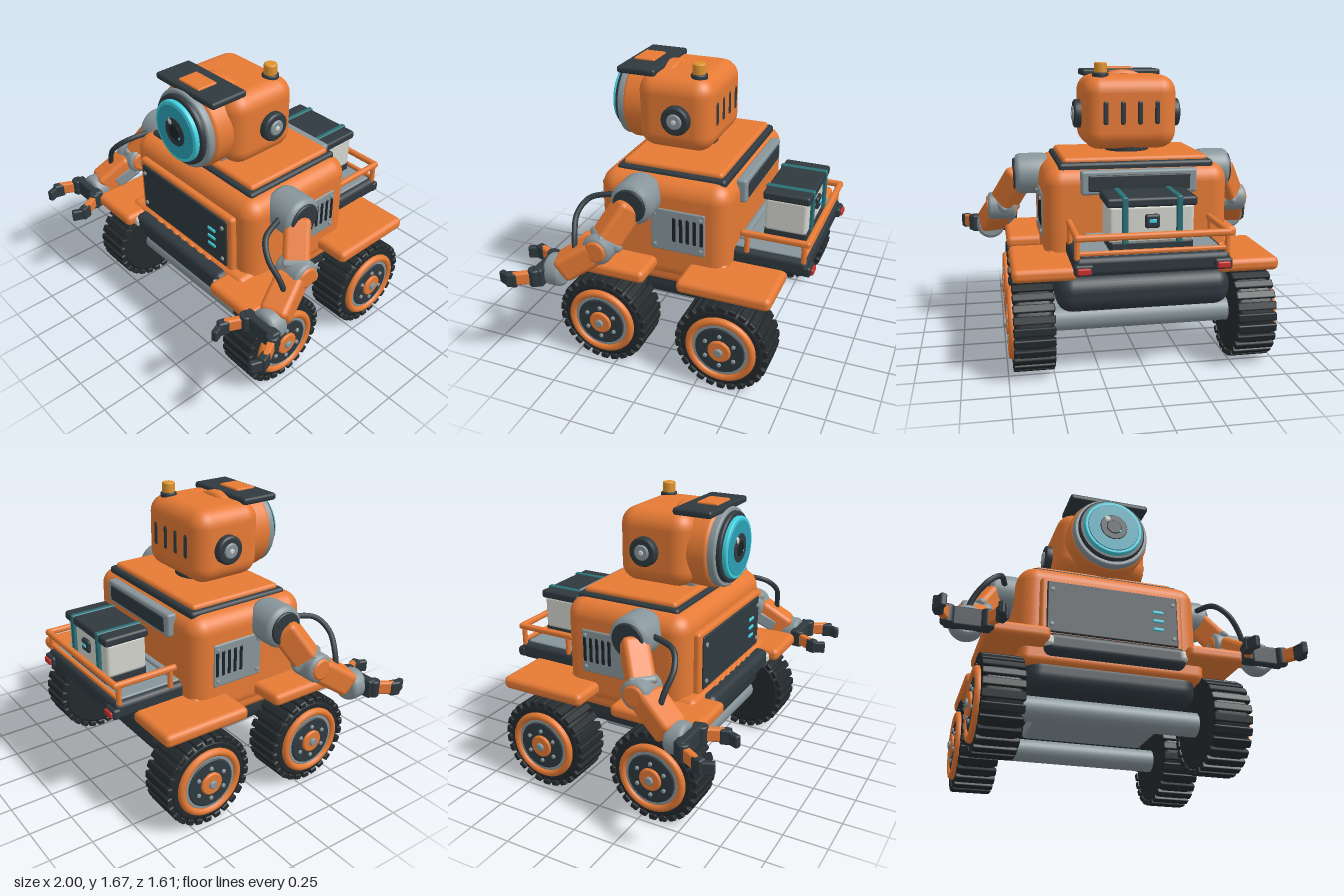
import * as THREE from 'three';
import { RoundedBoxGeometry } from 'three/addons/geometries/RoundedBoxGeometry.js';

const mat = (color) => new THREE.MeshStandardMaterial({ color });
const ORANGE = mat(0xe67a35), DARK = mat(0x2f393f), TIRE = mat(0x23292c), GREY = mat(0x87959a);
const CYAN = mat(0x3fd0e0), TEAL = mat(0x2a9fb5), STRAP = mat(0x2a7076), WHITE = mat(0xd2d4cc);
const RED = mat(0xc8302a), AMBER = mat(0xe0932f), BLACK = mat(0x1a2226);
const V = (x, y, z) => new THREE.Vector3(x, y, z);

function add(parent, name, geo, material, x = 0, y = 0, z = 0) {
  const m = new THREE.Mesh(geo, material);
  m.name = name;
  m.position.set(x, y, z);
  parent.add(m);
  return m;
}

// Rounded box from its limits: [x0, x1], [y0, y1], [z0, z1]
function block(parent, name, material, X, Y, Z, r = 0.015) {
  const w = X[1] - X[0], h = Y[1] - Y[0], d = Z[1] - Z[0];
  const geo = new RoundedBoxGeometry(w, h, d, r > 0.035 ? 4 : 2, Math.min(r, w * 0.49, h * 0.49, d * 0.49));
  return add(parent, name, geo, material, X[0] + w / 2, Y[0] + h / 2, Z[0] + d / 2);
}

// Bevelled disc, centred on a point, along the given axis; doubled points keep edges sharp
function disc(parent, name, material, r, len, axis, x, y, z, bevel = 0.008, seg = 28) {
  const b = Math.min(bevel, len * 0.4, r * 0.4), h = len / 2;
  const pts = [[0, -h], [r - b, -h], [r - b, -h], [r - 0.3 * b, -h + 0.3 * b], [r, -h + b],
    [r, h - b], [r - 0.3 * b, h - 0.3 * b], [r - b, h], [r - b, h], [0, h]];
  const m = add(parent, name, new THREE.LatheGeometry(pts.map((p) => new THREE.Vector2(...p)), seg), material, x, y, z);
  if (axis === 'x') m.rotation.z = -Math.PI / 2;
  if (axis === 'z') m.rotation.x = Math.PI / 2;
  return m;
}

// Rounded bar running from a to b
function bar(parent, name, material, a, b, w, h, r = 0.02) {
  const m = add(parent, name, new RoundedBoxGeometry(w, h, a.distanceTo(b), 2, Math.min(r, w * 0.49, h * 0.49)), material);
  m.position.copy(a).add(b).multiplyScalar(0.5);
  m.lookAt(b);
  return m;
}

// Wheel with its outer face towards +x
function wheel(z) {
  const g = new THREE.Group();
  g.name = 'wheel';
  g.position.set(0.61, 0.27, z);
  disc(g, 'tire', TIRE, 0.255, 0.21, 'x', 0, 0, 0, 0.03, 48);
  const n = 26;
  for (let i = 0; i < n; i++) {
    const a = (i / n) * Math.PI * 2;
    const t = add(g, 'tread', new RoundedBoxGeometry(0.224, 0.035, 0.045, 1, 0.008), TIRE, 0, Math.cos(a) * 0.2525, Math.sin(a) * 0.2525);
    t.rotation.x = a;
  }
  const ring = add(g, 'rimRing', new THREE.TorusGeometry(0.18, 0.022, 12, 48), ORANGE, 0.113, 0, 0);
  ring.rotation.y = Math.PI / 2;
  disc(g, 'rim', GREY, 0.165, 0.03, 'x', 0.105, 0, 0, 0.008, 40);
  disc(g, 'wheelDisc', DARK, 0.143, 0.03, 'x', 0.112, 0, 0, 0.008, 40);
  for (let i = 0; i < 6; i++) {
    const a = (i / 6) * Math.PI * 2;
    disc(g, 'wheelBolt', GREY, 0.012, 0.02, 'x', 0.128, Math.cos(a) * 0.094, Math.sin(a) * 0.094, 0.004, 10);
  }
  disc(g, 'hub', ORANGE, 0.066, 0.05, 'x', 0.117, 0, 0);
  disc(g, 'hubCap', GREY, 0.024, 0.04, 'x', 0.136, 0, 0, 0.006, 16);
  return g;
}

// Left arm, reaching forward and out
function arm() {
  const g = new THREE.Group();
  g.name = 'arm';
  disc(g, 'shoulder', GREY, 0.122, 0.2, 'x', 0.56, 1.01, 0.15, 0.03, 40);
  disc(g, 'shoulderCap', DARK, 0.095, 0.03, 'x', 0.656, 1.01, 0.15);
  const s = V(0.62, 1.01, 0.16), e = V(0.74, 0.79, 0.28), w = V(0.81, 0.64, 0.5);
  bar(g, 'upperArm', ORANGE, s, e, 0.145, 0.15, 0.03);
  bar(g, 'upperArmCuff', GREY, s.clone().lerp(e, 0.78), s.clone().lerp(e, 0.95), 0.155, 0.16, 0.02);
  disc(g, 'elbow', GREY, 0.085, 0.17, 'x', 0.74, 0.79, 0.28, 0.02);
  disc(g, 'elbowCap', ORANGE, 0.065, 0.19, 'x', 0.74, 0.79, 0.28, 0.015);
  bar(g, 'forearm', ORANGE, e.clone().lerp(w, 0.12), w, 0.16, 0.145, 0.03);
  bar(g, 'forearmPlate', GREY, V(0.67, 0.74, 0.31), V(0.72, 0.66, 0.44), 0.03, 0.08);
  disc(g, 'wrist', GREY, 0.09, 0.1, 'z', 0.81, 0.62, 0.53, 0.02);
  block(g, 'palm', DARK, [0.69, 0.93], [0.56, 0.67], [0.56, 0.62]);
  for (const d of [-1, 1]) {
    const x = (k) => 0.815 + d * k;
    disc(g, 'knuckle', DARK, 0.035, 0.1, 'y', x(0.1), 0.615, 0.61);
    bar(g, 'finger', ORANGE, V(x(0.1), 0.615, 0.61), V(x(0.16), 0.61, 0.72), 0.04, 0.075, 0.012);
    bar(g, 'fingerJoint', DARK, V(x(0.145), 0.605, 0.69), V(x(0.165), 0.605, 0.75), 0.048, 0.085, 0.012);
    bar(g, 'fingertip', DARK, V(x(0.163), 0.6, 0.73), V(x(0.135), 0.6, 0.8), 0.035, 0.07, 0.01);
  }
  const path = new THREE.CatmullRomCurve3([V(0.58, 1.03, 0.25), V(0.63, 1.0, 0.4), V(0.7, 0.93, 0.445), V(0.77, 0.83, 0.43), V(0.81, 0.72, 0.41)]);
  add(g, 'cable', new THREE.TubeGeometry(path, 32, 0.016, 10), DARK);
  return g;
}

function head() {
  const g = new THREE.Group();
  g.name = 'head';
  disc(g, 'neck', DARK, 0.13, 0.07, 'y', 0, 1.175, 0.03);
  block(g, 'neckPlate', GREY, [-0.12, 0.12], [1.15, 1.2], [0.1, 0.26]);
  block(g, 'skull', ORANGE, [-0.275, 0.275], [1.175, 1.6], [-0.155, 0.29], 0.1);
  disc(g, 'eyeHousing', ORANGE, 0.238, 0.26, 'z', 0, 1.385, 0.255, 0.02, 64);
  disc(g, 'eyeBezel', GREY, 0.224, 0.05, 'z', 0, 1.382, 0.4, 0.01, 64);
  disc(g, 'eyeSeal', DARK, 0.2, 0.05, 'z', 0, 1.385, 0.425, 0.01, 64);
  disc(g, 'eyeRim', CYAN, 0.175, 0.04, 'z', 0, 1.385, 0.455, 0.008, 64);
  disc(g, 'iris', TEAL, 0.155, 0.02, 'z', 0, 1.385, 0.468, 0.004, 64);
  disc(g, 'pupil', DARK, 0.082, 0.014, 'z', 0, 1.385, 0.474, 0.004);
  disc(g, 'pupilCore', BLACK, 0.045, 0.014, 'z', 0, 1.385, 0.477, 0.004);
  add(g, 'eyeGlint', new THREE.SphereGeometry(0.025, 20, 14), WHITE, -0.037, 1.435, 0.472).scale.z = 0.5;
  add(g, 'smallGlint', new THREE.SphereGeometry(0.01, 12, 8), CYAN, 0.037, 1.362, 0.48).scale.z = 0.5;
  block(g, 'visor', DARK, [-0.24, 0.24], [1.585, 1.625], [0.18, 0.41]);
  block(g, 'visorBadge', ORANGE, [-0.085, 0.085], [1.61, 1.636], [0.25, 0.375], 0.008);
  disc(g, 'beaconBase', DARK, 0.047, 0.05, 'y', 0.165, 1.59, -0.055);
  disc(g, 'beacon', AMBER, 0.037, 0.09, 'y', 0.165, 1.628, -0.055);
  for (const s of [-1, 1]) {
    disc(g, 'ear', DARK, 0.083, 0.06, 'x', s * 0.285, 1.375, 0.035, 0.012);
    disc(g, 'earCap', GREY, 0.045, 0.06, 'x', s * 0.294, 1.375, 0.035);
    disc(g, 'earBolt', WHITE, 0.015, 0.06, 'x', s * 0.299, 1.375, 0.035, 0.005, 14);
  }
  for (const x of [-0.15, -0.05, 0.05, 0.15]) block(g, 'headVent', DARK, [x - 0.017, x + 0.017], [1.32, 1.46], [-0.162, -0.13]);
  return g;
}

function cargo() {
  const g = new THREE.Group();
  g.name = 'cargoDeck';
  block(g, 'deck', DARK, [-0.41, 0.41], [0.62, 0.72], [-0.77, -0.33], 0.03);
  block(g, 'deckPlate', GREY, [-0.375, 0.375], [0.7, 0.73], [-0.735, -0.35], 0.008);
  block(g, 'deckEdge', GREY, [-0.31, 0.31], [0.72, 0.75], [-0.39, -0.35]);
  // Guard rail around three sides
  for (const s of [-1, 1]) {
    block(g, 'sideRail', ORANGE, [s * 0.395 - 0.017, s * 0.395 + 0.017], [0.805, 0.842], [-0.78, -0.385]);
    for (const z of [-0.425, -0.745]) block(g, 'railPost', ORANGE, [s * 0.395 - 0.015, s * 0.395 + 0.015], [0.7, 0.82], [z - 0.015, z + 0.015]);
    block(g, 'lampMount', DARK, [s * 0.365 - 0.05, s * 0.365 + 0.05], [0.63, 0.69], [-0.79, -0.74]);
    block(g, 'tailLight', RED, [s * 0.365 - 0.035, s * 0.365 + 0.035], [0.64, 0.675], [-0.803, -0.77], 0.008);
  }
  block(g, 'rearRail', ORANGE, [-0.41, 0.41], [0.805, 0.842], [-0.78, -0.745]);
  block(g, 'lowerRail', ORANGE, [-0.4, 0.4], [0.725, 0.75], [-0.757, -0.733], 0.01);
  // Strapped crate
  block(g, 'crateBase', DARK, [-0.22, 0.22], [0.72, 0.785], [-0.715, -0.465]);
  block(g, 'crate', WHITE, [-0.225, 0.225], [0.77, 0.97], [-0.71, -0.468], 0.02);
  block(g, 'crateLid', DARK, [-0.238, 0.238], [0.962, 1.012], [-0.725, -0.457]);
  for (const x of [-0.143, 0.143]) block(g, 'strap', STRAP, [x - 0.016, x + 0.016], [0.77, 1.018], [-0.73, -0.452], 0.008);
  block(g, 'latch', DARK, [-0.04, 0.04], [0.85, 0.925], [-0.73, -0.7]);
  block(g, 'latchLight', CYAN, [-0.02, 0.02], [0.88, 0.9], [-0.735, -0.72], 0.004);
  return g;
}

function body() {
  const g = new THREE.Group();
  g.name = 'body';
  block(g, 'chassis', DARK, [-0.485, 0.485], [0.35, 0.56], [-0.585, 0.45], 0.09);
  block(g, 'underPlate', GREY, [-0.36, 0.36], [0.285, 0.37], [-0.2, 0.2]);
  block(g, 'plinth', ORANGE, [-0.515, 0.515], [0.48, 0.66], [-0.35, 0.47], 0.04);
  block(g, 'torso', ORANGE, [-0.525, 0.525], [0.49, 1.115], [-0.355, 0.41], 0.1);
  block(g, 'lidTrim', DARK, [-0.44, 0.44], [1.08, 1.135], [-0.312, 0.328], 0.02);
  block(g, 'lid', ORANGE, [-0.413, 0.413], [1.1, 1.16], [-0.285, 0.3], 0.02);
  block(g, 'frontBumper', DARK, [-0.395, 0.395], [0.525, 0.645], [0.38, 0.53], 0.04);
  // Front panel with bolts and status lights
  block(g, 'panelFrame', ORANGE, [-0.412, 0.412], [0.645, 1.01], [0.36, 0.445], 0.02);
  block(g, 'panel', DARK, [-0.378, 0.378], [0.675, 0.982], [0.4, 0.456], 0.008);
  for (const y of [0.768, 0.82, 0.873]) block(g, 'statusLight', CYAN, [0.228, 0.292], [y - 0.01, y + 0.01], [0.44, 0.464], 0.006);
  for (const x of [-0.35, 0.35]) for (const y of [0.72, 0.932]) disc(g, 'panelBolt', GREY, 0.013, 0.02, 'z', x, y, 0.455, 0.004, 12);
  for (let i = -3; i <= 3; i++) block(g, 'lowerVent', ORANGE, [i * 0.075 - 0.02, i * 0.075 + 0.02], [0.63, 0.655], [0.4, 0.47], 0.008);
  // Rear plate
  block(g, 'rearFrame', GREY, [-0.325, 0.325], [0.965, 1.1], [-0.39, -0.33]);
  block(g, 'rearPlate', DARK, [-0.285, 0.285], [0.985, 1.075], [-0.397, -0.37], 0.008);
  for (const s of [-1, 1]) {
    const X = (a, b) => (s > 0 ? [a, b] : [-b, -a]);
    // Fenders over each wheel
    for (const z of [0.325, -0.395]) block(g, 'fender', ORANGE, X(0.38, 0.722), [0.567, 0.642], [z - 0.265, z + 0.265], 0.03);
    block(g, 'headlight', WHITE, X(0.35, 0.4), [0.56, 0.62], [0.48, 0.54], 0.02);
    // Side service panel
    block(g, 'sidePanel', GREY, X(0.5, 0.533), [0.7, 0.957], [-0.23, 0.09], 0.01);
    for (let i = 0; i < 5; i++) {
      const z = -0.05 - i * 0.04;
      block(g, 'sideVent', BLACK, X(0.51, 0.538), [0.765, 0.915], [z - 0.011, z + 0.011], 0.008);
    }
    for (const y of [0.735, 0.925]) for (const z of [-0.205, 0.065]) disc(g, 'sideBolt', GREY, 0.012, 0.02, 'x', s * 0.535, y, z, 0.004, 10);
  }
  return g;
}

export function createModel() {
  const root = new THREE.Group();
  root.name = 'cargoRover';
  root.add(body(), head(), cargo());
  for (const z of [0.325, -0.395]) disc(root, 'axle', GREY, 0.068, 1.04, 'x', 0, 0.275, z);
  // Wheels and arms, mirrored
  for (const s of [1, -1]) {
    const side = new THREE.Group();
    side.name = s > 0 ? 'leftSide' : 'rightSide';
    side.scale.x = s;
    side.add(wheel(0.325), wheel(-0.395), arm());
    root.add(side);
  }
  return root;
}
